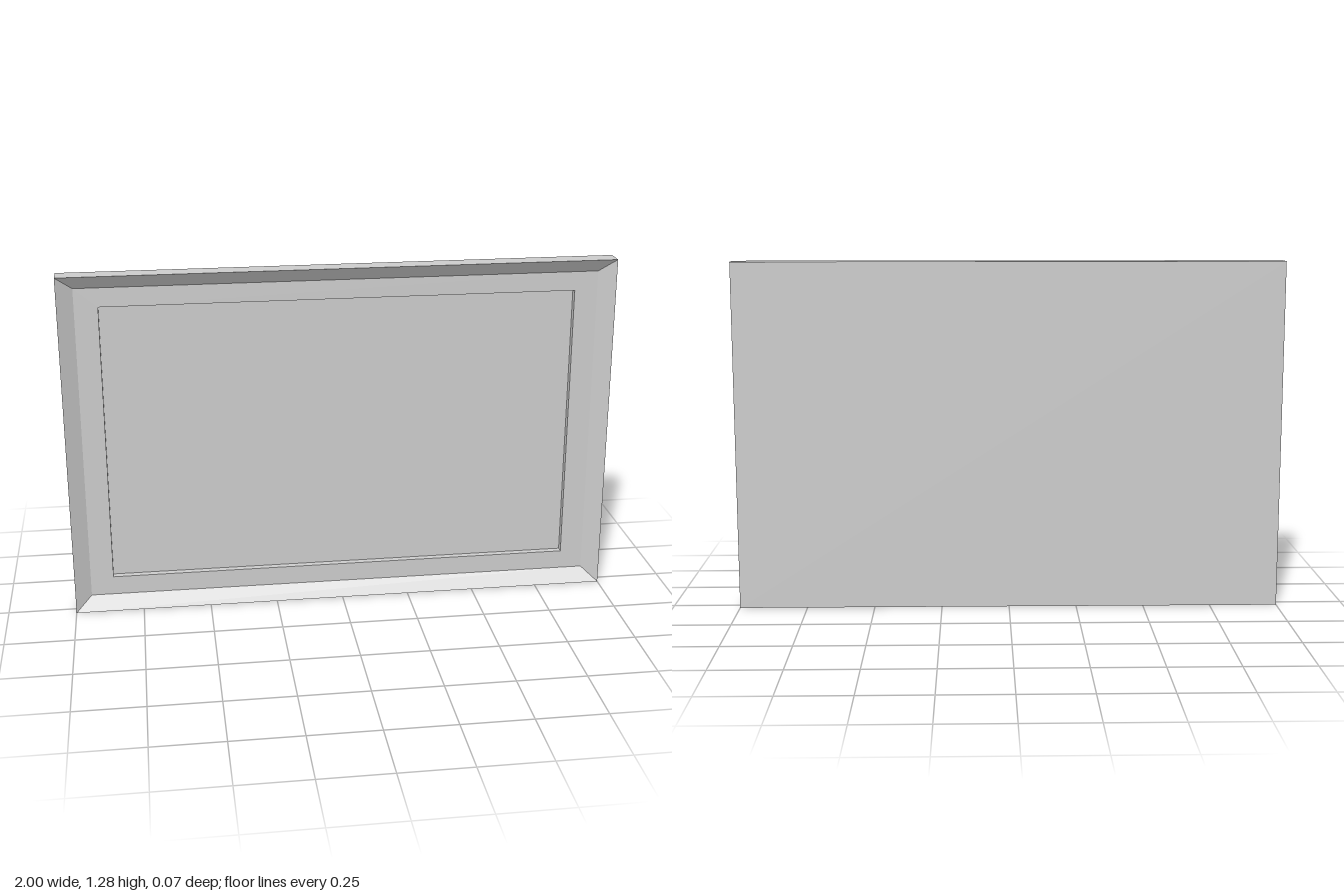
import * as THREE from 'three';

const CY = 0.64; // height of the frame's centre

// Corners of a rectangle, anticlockwise as seen from the front
const ring = ([w, h, z]) => [[-w, CY - h, z], [w, CY - h, z], [w, CY + h, z], [-w, CY + h, z]];

// Joins successive rectangles [halfWidth, halfHeight, z] with flat, mitred faces
function loft(name, sections, material) {
  const pos = [];
  const rings = sections.map(ring);
  for (let s = 0; s < rings.length - 1; s++) {
    const a = rings[s], b = rings[s + 1];
    for (let i = 0; i < 4; i++) {
      const j = (i + 1) % 4;
      pos.push(...a[i], ...a[j], ...b[j], ...a[i], ...b[j], ...b[i]);
    }
  }
  const geometry = new THREE.BufferGeometry();
  geometry.setAttribute('position', new THREE.Float32BufferAttribute(pos, 3));
  geometry.computeVertexNormals();
  const mesh = new THREE.Mesh(geometry, material);
  mesh.name = name;
  return mesh;
}

function plate(name, w, h, z, material) {
  const mesh = new THREE.Mesh(new THREE.PlaneGeometry(2 * w, 2 * h), material);
  mesh.position.set(0, CY, z);
  mesh.name = name;
  return mesh;
}

export function createModel() {
  const group = new THREE.Group();
  group.name = 'pictureFrame';
  const material = new THREE.MeshStandardMaterial({ color: 0xcccccc, flatShading: true });

  const back = [1, CY, -0.036];
  const front = [1, CY, 0.036];
  const bevelFoot = [0.942, 0.59, -0.006];
  const rim = [0.858, 0.52, -0.006];
  const floor = [0.858, 0.52, -0.031];

  // Outer sides, inward bevel, flat border and the step down to the picture
  group.add(loft('outerSides', [back, front], material));
  group.add(loft('bevel', [front, bevelFoot], material));
  group.add(loft('border', [bevelFoot, rim], material));
  group.add(loft('recessWalls', [rim, floor], material));

  // Recessed picture and closed back
  group.add(plate('picturePanel', ...floor, material));
  const backPanel = plate('backPanel', ...back, material);
  backPanel.rotation.y = Math.PI;
  group.add(backPanel);
  return group;
}
